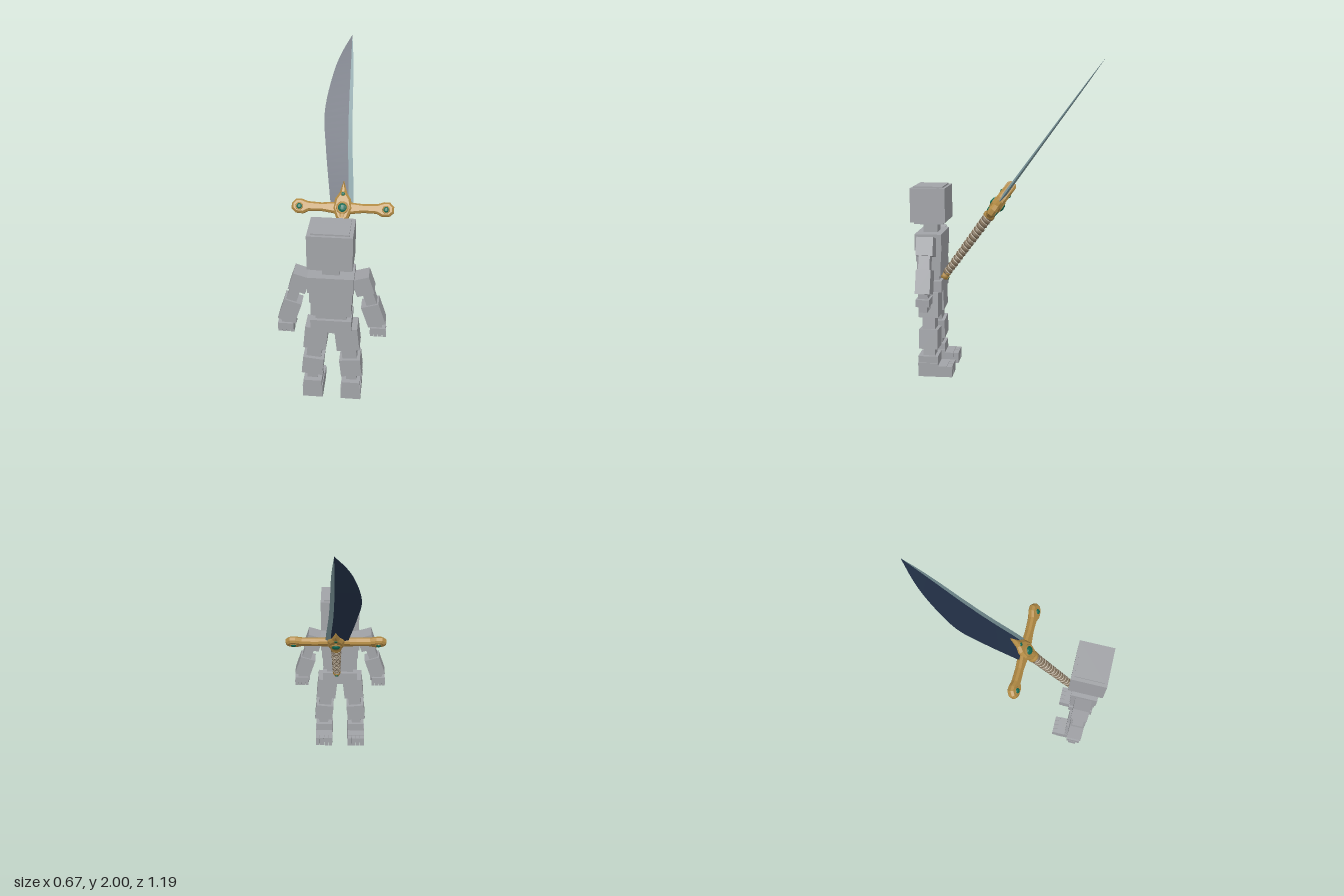
import * as THREE from 'three';

const mat = (name, color, extra = {}) => Object.assign(new THREE.MeshStandardMaterial({ color, ...extra }), { name });

export function createModel() {
  const grey = mat('body grey', 0xa2a4a8);
  const navy = mat('blade navy', 0x243249);
  const steel = mat('edge steel', 0x7c979c);
  const gold = mat('gold', 0xb48c45);
  const wrap = mat('grip leather', 0x83725c);
  const wire = mat('grip wire', 0xcfc4b2);
  const gem = mat('green gem', 0x0e6a54);
  const model = new THREE.Group();
  model.name = 'swordAndFigure';

  const add = (parent, name, geo, material, x = 0, y = 0, z = 0) => {
    const m = new THREE.Mesh(geo, material);
    m.name = name;
    m.position.set(x, y, z);
    parent.add(m);
    return m;
  };

  // ---- Blocky figure, facing -z ----
  const figure = new THREE.Group();
  figure.name = 'figure';
  figure.position.set(-0.008, 0, 0.487);
  model.add(figure);
  const box = (name, w, h, d, x, y, z = 0, rot = 0) => {
    const m = add(figure, name, new THREE.BoxGeometry(w, h, d), grey, x, y, z);
    m.rotation.z = rot;
    return m;
  };

  // Head with inset caps, neck and trunk
  box('head', 0.258, 0.216, 0.22, 0, 1.099);
  box('headCaps', 0.215, 0.238, 0.185, 0, 1.097);
  box('neck', 0.1, 0.1, 0.09, 0, 0.94);
  box('neckBase', 0.08, 0.07, 0.07, 0, 0.975);
  box('chest', 0.268, 0.105, 0.17, 0, 0.866);
  box('lowerChest', 0.25, 0.08, 0.16, 0, 0.783);
  box('abdomen', 0.238, 0.1, 0.15, 0, 0.697);
  box('waist', 0.185, 0.06, 0.12, 0, 0.63);
  box('hips', 0.243, 0.072, 0.158, 0, 0.579);
  box('pelvis', 0.12, 0.06, 0.11, 0, 0.535);

  for (const s of [-1, 1]) {
    const side = s > 0 ? 'left' : 'right';
    // Arm, splayed outward
    const a = s * 0.31;
    box(side + 'Shoulder', 0.105, 0.115, 0.105, s * 0.185, 0.85, 0, a);
    box(side + 'UpperArm', 0.062, 0.12, 0.07, s * 0.222, 0.765, 0, a);
    box(side + 'Forearm', 0.107, 0.148, 0.092, s * 0.249, 0.643, 0, a);
    box(side + 'Wrist', 0.06, 0.05, 0.06, s * 0.272, 0.555);
    box(side + 'Palm', 0.094, 0.045, 0.085, s * 0.277, 0.528);
    for (let i = 0; i < 4; i++)
      box(side + 'Finger', 0.021, 0.045, 0.05, s * (0.241 + i * 0.025), 0.495, -0.005);
    box(side + 'Thumb', 0.02, 0.035, 0.035, s * 0.228, 0.54, -0.015);

    // Leg
    const b = s * 0.1;
    box(side + 'Thigh', 0.138, 0.157, 0.125, s * 0.095, 0.462, 0, b);
    box(side + 'Knee', 0.09, 0.1, 0.08, s * 0.107, 0.345, 0, b);
    box(side + 'Shin', 0.128, 0.125, 0.122, s * 0.117, 0.243, 0, b);
    box(side + 'Ankle', 0.065, 0.07, 0.075, s * 0.12, 0.16, 0, b);
    box(side + 'Heel', 0.126, 0.09, 0.127, s * 0.119, 0.045, 0.005);
    box(side + 'FootTop', 0.114, 0.05, 0.127, s * 0.119, 0.108, 0.005);
    box(side + 'Instep', 0.126, 0.072, 0.06, s * 0.119, 0.036, -0.085);
    for (let i = 0; i < 4; i++)
      box(side + 'Toe', 0.028, 0.07, 0.045, s * (0.072 + i * 0.0315), 0.035, -0.127);
  }

  // ---- Sword: local y runs from pommel to tip, leaning to -z ----
  const sword = new THREE.Group();
  sword.name = 'sword';
  sword.position.set(0.016, 0.62, 0.41);
  sword.rotation.x = -0.63;
  model.add(sword);

  // Blade rows: height, spine x, ridge x, cutting edge x, half thickness
  const rows = [
    [0.58, -0.071, 0.034, 0.068, 0.012], [0.72, -0.092, 0.03, 0.06, 0.011],
    [0.965, -0.126, 0.014, 0.041, 0.009], [1.2, -0.147, 0.005, 0.029, 0.007],
    [1.46, -0.104, 0.002, 0.02, 0.005], [1.585, -0.062, 0.001, 0.012, 0.003],
    [1.708, 0, 0, 0, 0],
  ];
  const line = (col, thick) => new THREE.CatmullRomCurve3(
    rows.map(r => new THREE.Vector3(r[col], r[0], r[4] * thick))).getPoints(36);
  const strips = pairs => {
    const pos = [], idx = [];
    for (const [l, r] of pairs) {
      const o = pos.length / 3;
      l.forEach((p, i) => {
        pos.push(...p.toArray(), ...r[i].toArray());
        const k = o + 2 * i;
        if (i < l.length - 1) idx.push(k, k + 1, k + 3, k, k + 3, k + 2);
      });
    }
    const g = new THREE.BufferGeometry();
    g.setAttribute('position', new THREE.Float32BufferAttribute(pos, 3));
    g.setIndex(idx);
    g.computeVertexNormals();
    return g;
  };
  const spineF = line(1, 0.35), spineB = line(1, -0.35);
  const ridgeF = line(2, 1), ridgeB = line(2, -1), edge = line(3, 0);
  add(sword, 'blade', strips([[spineF, ridgeF], [ridgeB, spineB], [spineB, spineF]]), navy);
  add(sword, 'cuttingEdge', strips([[ridgeF, edge], [edge, ridgeB]]), steel);

  // Bevelled plate from an outline, centred in depth
  const plate = (pts, depth, bevel) => {
    const g = new THREE.ExtrudeGeometry(new THREE.Shape(pts.map(p => new THREE.Vector2(...p))), {
      depth: depth - 2 * bevel, bevelEnabled: true, bevelSize: bevel, bevelOffset: -bevel,
      bevelThickness: bevel, bevelSegments: 1,
    });
    return g.translate(0, 0, bevel - depth / 2);
  };
  const mirrorX = half => [...half, ...half.slice().reverse().map(([x, y]) => [-x, y])];

  // Crossguard with flared ends, and pointed centre shield
  add(sword, 'guard', plate(mirrorX([
    [0.04, 0.558], [0.13, 0.57], [0.21, 0.568], [0.245, 0.55], [0.29, 0.553], [0.317, 0.577],
    [0.317, 0.612], [0.29, 0.64], [0.255, 0.64], [0.215, 0.626], [0.13, 0.622], [0.04, 0.63],
  ]), 0.046, 0.012), gold);
  add(sword, 'guardShield', plate([
    [0, 0.5], [0.035, 0.525], [0.06, 0.59], [0.048, 0.65], [0.024, 0.685], [0, 0.765],
    [-0.024, 0.685], [-0.048, 0.65], [-0.06, 0.59], [-0.035, 0.525],
  ], 0.066, 0.014), gold);

  // Faceted gems in gold settings, on both faces
  const jewel = (name, x, y, z, r) => {
    for (const s of [-1, 1]) {
      const ring = add(sword, name + 'Setting', new THREE.TorusGeometry(r * 1.1, r * 0.25, 6, 16), gold, x, y, s * z);
      ring.scale.z = 0.8;
      const g = new THREE.SphereGeometry(r, 10, 6).toNonIndexed();
      g.computeVertexNormals();
      add(sword, name, g, gem, x, y, s * z).scale.z = 0.55;
    }
  };
  jewel('centreGem', 0, 0.592, 0.033, 0.029);
  jewel('upperGem', 0, 0.678, 0.032, 0.012);
  jewel('rightEndGem', -0.268, 0.592, 0.023, 0.018);
  jewel('leftEndGem', 0.268, 0.592, 0.023, 0.018);

  // Grip: core with wound leather cord and wire between the turns
  const lerp = THREE.MathUtils.lerp;
  add(sword, 'gripCore', new THREE.CylinderGeometry(0.029, 0.022, 0.5, 16), wrap, 0, 0.265, 0);
  const helix = (turns, phase, offset) => {
    const pts = [];
    for (let i = 0; i <= turns * 12; i++) {
      const u = i / (turns * 12), a = i / 12 * Math.PI * 2 + phase, r = lerp(0.022, 0.029, u) + offset;
      pts.push(new THREE.Vector3(r * Math.cos(a), lerp(0.035, 0.495, u), r * Math.sin(a)));
    }
    return new THREE.CatmullRomCurve3(pts);
  };
  add(sword, 'gripCord', new THREE.TubeGeometry(helix(16, 0, -0.006), 320, 0.012, 6), wrap);
  add(sword, 'gripWire', new THREE.TubeGeometry(helix(16, Math.PI, 0.002), 320, 0.003, 5), wire);

  // Collar and pommel
  const lathe = pts => new THREE.LatheGeometry(pts.map(p => new THREE.Vector2(...p)), 16);
  add(sword, 'collar', lathe([[0.028, 0.485], [0.037, 0.492], [0.037, 0.51], [0.031, 0.515], [0.036, 0.54], [0.036, 0.57]]), gold);
  add(sword, 'pommel', lathe([[0, -0.014], [0.016, -0.012], [0.027, 0.002], [0.028, 0.018], [0.02, 0.03], [0.026, 0.036], [0.02, 0.044]]), gold);
  jewel('pommelGem', 0, 0.01, 0.026, 0.013);

  return model;
}
